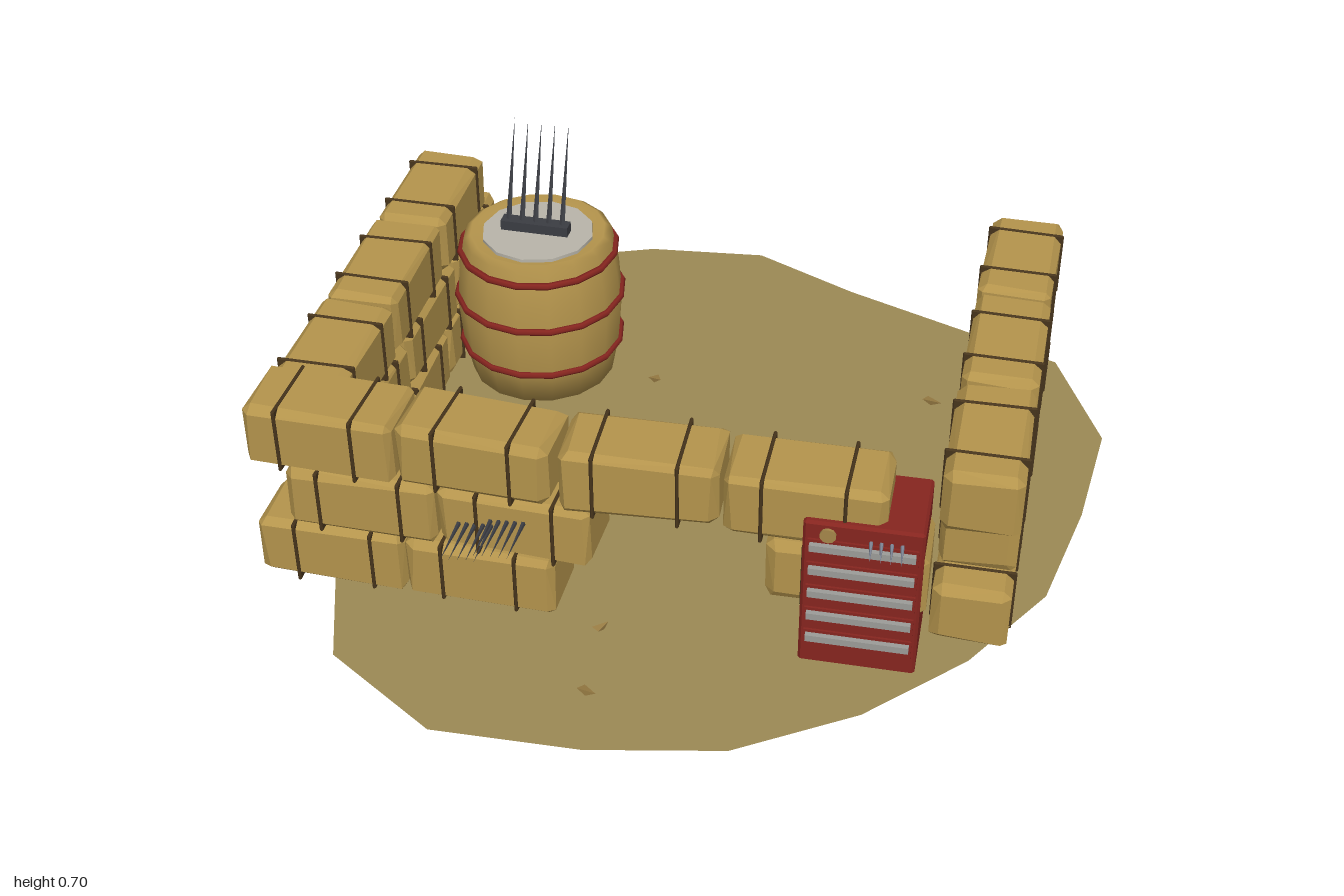
import * as THREE from 'three';
import { ConvexGeometry } from 'three/addons/geometries/ConvexGeometry.js';

const mat = (name, color, extra = {}) =>
  Object.assign(new THREE.MeshStandardMaterial({ color, ...extra }), { name });

let seed = 7;
const rand = () => {
  seed = (seed * 16807) % 2147483647;
  return seed / 2147483647 - 0.5;
};

// Box with chamfered edges; jitter roughens the corners a little
function chamferBox(w, h, d, c, jitter = 0) {
  const pts = [];
  for (const sx of [-1, 1]) for (const sy of [-1, 1]) for (const sz of [-1, 1]) {
    for (let axis = 0; axis < 3; axis++) {
      const k = c * (1 + jitter * rand());
      const cut = [k, k, k];
      cut[axis] = 0;
      pts.push(new THREE.Vector3(sx * (w / 2 - cut[0]), sy * (h / 2 - cut[1]), sz * (d / 2 - cut[2])));
    }
  }
  return new ConvexGeometry(pts);
}

export function createModel() {
  const root = new THREE.Group();
  root.name = 'barricade';
  const M = {
    ground: mat('dry earth', 0x9c8955, { side: THREE.DoubleSide }),
    straw: mat('straw', 0xb4944c),
    strap: mat('strap', 0x46341c),
    red: mat('red paint', 0x86251f),
    steel: mat('handle steel', 0x9c9c98),
    lid: mat('lid grey', 0xb9b5aa),
    dark: mat('dark iron', 0x3b3d43),
    blade: mat('blade steel', 0x7d8494),
    spike: mat('spike tan', 0xa5874a),
  };
  const add = (parent, name, geo, material, x = 0, y = 0, z = 0) => {
    const m = new THREE.Mesh(geo, material);
    m.name = name;
    m.position.set(x, y, z);
    parent.add(m);
    return m;
  };
  const group = (name, x = 0, y = 0, z = 0, ry = 0) => {
    const g = new THREE.Group();
    g.name = name;
    g.position.set(x, y, z);
    g.rotation.y = ry;
    root.add(g);
    return g;
  };
  // Tapered point running from one place to another
  const up = new THREE.Vector3(0, 1, 0);
  const point = (parent, name, from, to, r, sides, material) => {
    const a = new THREE.Vector3(...from), dir = new THREE.Vector3(...to).sub(a);
    const geo = new THREE.ConeGeometry(r, dir.length(), sides).toNonIndexed();
    geo.computeVertexNormals();
    const m = add(parent, name, geo, material);
    m.position.copy(a).addScaledVector(dir, 0.5);
    m.quaternion.setFromUnitVectors(up, dir.normalize());
  };

  // Ground sheet
  const outline = [
    [0, -1], [0.28, -0.87], [0.86, -0.655], [1, -0.35], [0.97, -0.035], [0.91, 0.275], [0.76, 0.525],
    [0.555, 0.74], [0.3, 0.905], [0, 0.97], [-0.335, 0.985], [-0.61, 0.815], [-0.7, 0.56], [-0.87, 0.255],
    [-1, -0.03], [-0.955, -0.335], [-0.84, -0.65], [-0.6, -0.85], [-0.31, -0.965],
  ].map(([x, z]) => new THREE.Vector2(x, -z));
  add(root, 'ground', new THREE.ShapeGeometry(new THREE.Shape(outline)).rotateX(-Math.PI / 2), M.ground, 0, 0.03, 0);

  // Bales with two straps each
  const strapGeo = chamferBox(0.008, 0.165, 0.185, 0.003);
  const bale = (x, y, z, ry) => {
    const g = group('bale', x, y, z, ry);
    add(g, 'baleBody', chamferBox(0.35, 0.157, 0.174, 0.017, 0.7), M.straw);
    for (const s of [-0.09, 0.09]) {
      const strap = add(g, 'baleStrap', strapGeo, M.strap, s + rand() * 0.02, 0, 0);
      strap.rotation.y = rand() * 0.06;
    }
  };
  const rows = [0.103, 0.263, 0.42];

  // Side walls, the middle course set back by half a bale
  for (const x of [-0.762, 0.748])
    rows.forEach((y, r) => {
      for (let i = 0; i < 3; i++)
        bale(x, y, (r === 1 ? 0.22 : 0.297) - i * 0.362, Math.PI / 2 + rand() * 0.04);
    });

  // Front wall with a gap under its top course
  [[-0.695, 0, 0.01], [-0.34, 0, -0.02],
    [-0.612, 1, 0.01], [-0.253, 1, -0.02], [0.482, 1, 0.04],
    [-0.695, 2, -0.02], [-0.34, 2, -0.05], [0.025, 2, 0.05], [0.388, 2, 0.03],
  ].forEach(([x, r, ry]) => bale(x, rows[r], 0.497, ry));

  // Barrel with hoops and lid
  const barrel = group('barrel', -0.465, 0, -0.37);
  const profile = [[0, 0.025], [0.185, 0.025], [0.205, 0.125], [0.213, 0.23], [0.206, 0.33], [0.19, 0.425],
    [0.172, 0.437], [0.162, 0.425], [0, 0.42]].map((p) => new THREE.Vector2(...p));
  add(barrel, 'barrelBody', new THREE.LatheGeometry(profile, 16), M.straw);
  for (const [y, r] of [[0.125, 0.207], [0.262, 0.213], [0.39, 0.199]])
    add(barrel, 'hoop', new THREE.TorusGeometry(r, 0.009, 6, 16).rotateX(Math.PI / 2), M.red, 0, y, 0);
  add(barrel, 'lid', new THREE.CylinderGeometry(0.143, 0.143, 0.016, 12), M.lid, 0, 0.425, 0);

  // Standing claw on the barrel
  const claw = group('standingClaw', -0.47, 0, -0.37);
  add(claw, 'clawBar', new THREE.BoxGeometry(0.175, 0.028, 0.035), M.dark, 0, 0.445, 0);
  for (let i = -2; i <= 2; i++)
    point(claw, 'clawTine', [i * 0.035, 0.44, 0.005], [i * 0.035, 0.7, -0.092], 0.008, 5, M.dark);

  // Claws stuck in the front wall
  const stuck = group('stuckClaws');
  for (const [x0, y0] of [[-0.38, 0.258], [-0.305, 0.28]])
    for (let i = 0; i < 5; i++) {
      const x = x0 + i * 0.019, y = y0 + i * 0.002;
      point(stuck, 'stuckTine', [x, y, 0.55], [x, y + 0.005, 0.712], 0.007, 5, M.dark);
    }

  // Drawer cabinet
  const cab = group('cabinet', 0.517, 0, 0.497, 0.03);
  add(cab, 'cabinetBody', chamferBox(0.258, 0.4, 0.195, 0.006), M.red, 0, 0.223, 0);
  for (let i = 0; i < 5; i++) {
    const y = 0.108 + i * 0.064;
    add(cab, 'drawerFront', new THREE.BoxGeometry(0.236, 0.055, 0.008), M.red, 0, y - 0.012, 0.099);
    add(cab, 'drawerHandle', new THREE.BoxGeometry(0.226, 0.017, 0.022), M.steel, 0, y, 0.104);
  }
  add(cab, 'badge', new THREE.CylinderGeometry(0.018, 0.018, 0.008, 10).rotateX(Math.PI / 2), M.spike, -0.075, 0.393, 0.1);
  for (let i = 0; i < 4; i++)
    point(cab, 'cabinetTine', [0.015 + i * 0.022, 0.386, 0.08], [0.02 + i * 0.022, 0.386, 0.162], 0.006, 5, M.blade);

  // Scattered spikes: base x, z then tip x, z
  const spikes = group('spikes');
  [[-0.15, -0.365, -0.165, -0.31], [-0.09, -0.09, -0.14, -0.1], [0.29, -0.075, 0.24, -0.055],
    [0.54, -0.43, 0.59, -0.365], [0.555, 0.145, 0.555, 0.185], [-0.07, 0.6, -0.035, 0.61],
    [-0.055, 0.785, -0.005, 0.835],
  ].forEach(([x, z, tx, tz]) => point(spikes, 'spike', [x, 0.014, z], [tx, 0.062, tz], 0.017, 4, M.spike));

  return root;
}
